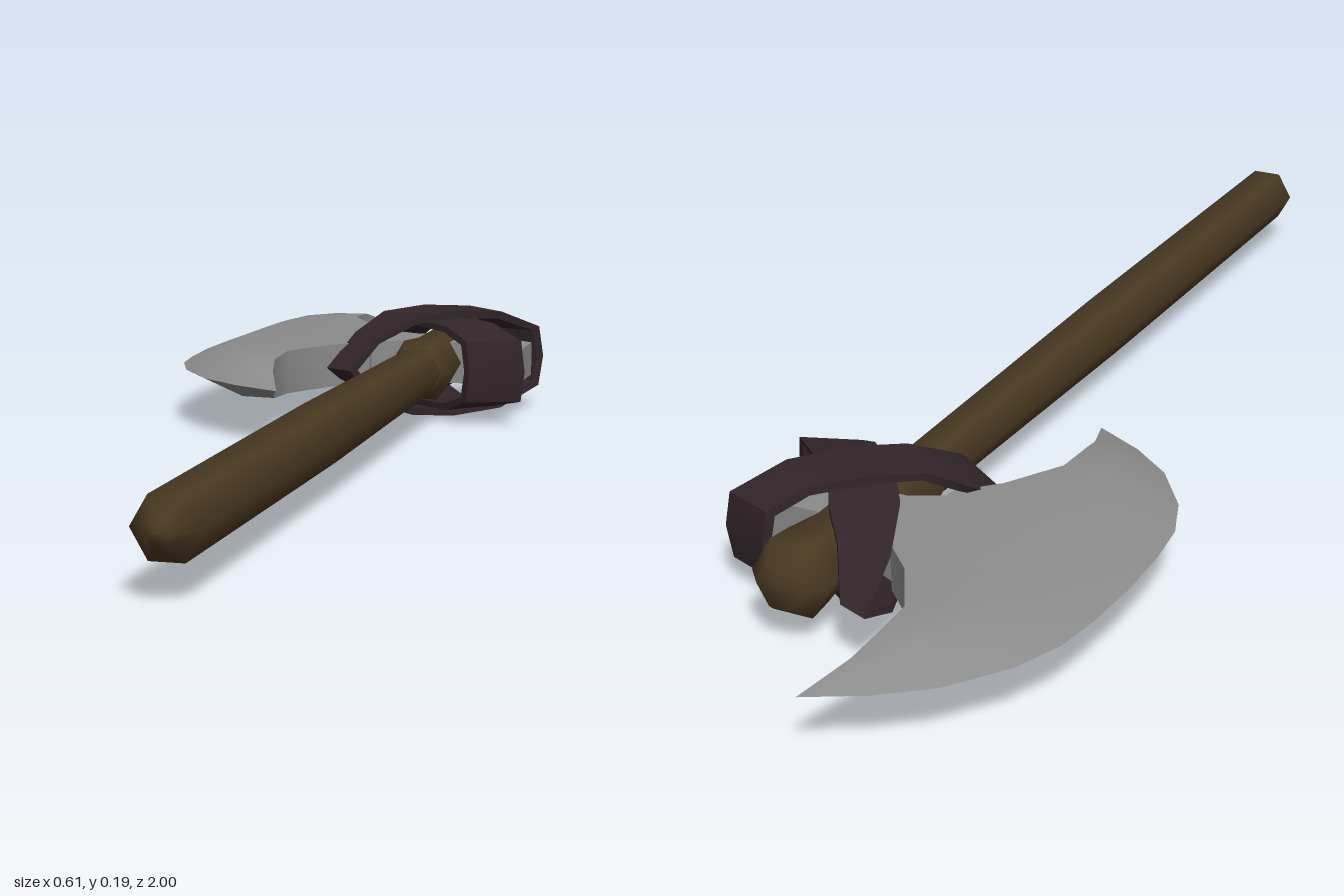
import * as THREE from 'three';
import { toCreasedNormals } from 'three/addons/utils/BufferGeometryUtils.js';

const MID_Y = 0.094;   // height of the axe's flat symmetry plane
const SHAFT_X = 0.127; // handle axis
const HEAD_Z = -0.555; // centre of the blade along the handle

// Skin a list of equal-length rings of points.
function loft(rings, closed, crease) {
  const n = rings[0].length;
  const count = rings.length;
  const index = [];
  for (let i = 0; i < (closed ? count : count - 1); i++) {
    for (let j = 0; j < n; j++) {
      const a = i * n + j;
      const b = i * n + (j + 1) % n;
      const c = ((i + 1) % count) * n + j;
      const d = ((i + 1) % count) * n + (j + 1) % n;
      index.push(a, c, b, b, c, d);
    }
  }
  const g = new THREE.BufferGeometry();
  g.setAttribute('position', new THREE.Float32BufferAttribute(rings.flat(2), 3));
  g.setIndex(index);
  return toCreasedNormals(g, crease);
}

export function createModel() {
  const group = new THREE.Group();
  const material = (name, color) => {
    const m = new THREE.MeshStandardMaterial({ color });
    m.name = name;
    return m;
  };
  const wood = material('wood', 0x4a3a22);
  const steel = material('steel', 0x8c8c8c);
  const leather = material('leather', 0x32252a);

  const add = (name, geometry, mat) => {
    const mesh = new THREE.Mesh(geometry, mat);
    mesh.name = name;
    group.add(mesh);
    return mesh;
  };

  // Six-sided turned wood along z; profile pairs are [radius, z]
  const turned = (name, profile) => {
    const g = new THREE.LatheGeometry(profile.map(([r, z]) => new THREE.Vector2(r, z)), 6, Math.PI / 6);
    g.rotateX(Math.PI / 2);
    add(name, g, wood).position.set(SHAFT_X, MID_Y, 0);
  };
  turned('handle', [[0.043, -0.4], [0.046, -0.1], [0.05, 0.25], [0.049, 0.965], [0.016, 0.997], [0, 1]]);
  turned('handleHead', [[0, -0.768], [0.038, -0.765], [0.064, -0.735], [0.06, -0.69],
    [0.05, -0.62], [0.05, -0.5], [0.058, -0.405], [0.046, -0.375], [0.04, -0.375]]);

  // Blade half-sections: edge x, edge d, bevel x, bevel d, inner x, inner d, half thickness
  const half = [
    [-0.307, 0, -0.21, 0, 0.03, 0, 0.037],
    [-0.303, 0.1, -0.208, 0.08, 0.02, 0.09, 0.037],
    [-0.293, 0.18, -0.2, 0.155, -0.035, 0.145, 0.037],
    [-0.262, 0.26, -0.18, 0.235, -0.087, 0.235, 0.037],
    [-0.2, 0.345, -0.145, 0.31, -0.087, 0.315, 0.033],
    [-0.13, 0.4, -0.1, 0.37, -0.077, 0.36, 0.02],
    [-0.046, 0.445, -0.046, 0.445, -0.046, 0.445, 0],
  ];
  const section = ([ex, ed, bx, bd, ix, id, h], s) => [
    [ex, MID_Y, HEAD_Z + s * ed],
    [bx, MID_Y + h, HEAD_Z + s * bd],
    [ix, MID_Y + h, HEAD_Z + s * id],
    [ix, MID_Y - h, HEAD_Z + s * id],
    [bx, MID_Y - h, HEAD_Z + s * bd],
  ];
  const rings = [
    ...half.slice(1).reverse().map((p) => section(p, -1)),
    ...half.map((p) => section(p, 1)),
  ];
  add('blade', loft(rings, false, 0.65), steel);

  // Tang passing through the handle, narrowed at the back end
  const tang = new THREE.BoxGeometry(0.285, 0.072, 0.1, 4, 1, 1);
  const p = tang.attributes.position;
  for (let i = 0; i < p.count; i++) {
    const x = p.getX(i);
    const k = x > 0.14 ? 0.8 : x < -0.14 ? 1.7 : 1;
    p.setZ(i, p.getZ(i) * k);
    if (x > 0.14) p.setY(i, p.getY(i) * 0.8);
  }
  add('tang', toCreasedNormals(tang, 0.6), steel).position.set(0.1425, MID_Y, HEAD_Z);

  // Leather loops; upper-half path rows are x, z, y, half width in x, half width in z
  const strap = (name, path) => {
    const lower = path.slice(1, -1).reverse().map(([x, z, y, wx, wz]) => [x, z, 2 * MID_Y - y, wx, wz]);
    const loop = [...path, ...lower].map(([x, z, y, wx, wz]) => {
      const ix = SHAFT_X + (x - SHAFT_X) * 0.92;
      const iy = MID_Y + (y - MID_Y) * 0.86;
      const iz = -0.535 + (z + 0.535) * 0.94;
      return [
        [x + wx, y, z + wz], [x - wx, y, z - wz],
        [ix - wx, iy, iz - wz], [ix + wx, iy, iz + wz],
      ];
    });
    add(name, loft(loop, true, 0.75), leather);
  };
  strap('outerStrap', [
    [-0.011, -0.373, MID_Y, 0.024, 0.012],
    [0.022, -0.425, 0.147, 0.028, 0.045],
    [0.07, -0.48, 0.18, 0.036, 0.036],
    [0.13, -0.535, 0.187, 0.036, 0.036],
    [0.2, -0.6, 0.18, 0.036, 0.034],
    [0.25, -0.65, 0.147, 0.041, 0.016],
    [0.257, -0.655, MID_Y, 0.041, 0.016],
  ]);
  strap('innerStrap', [
    [0.003, -0.778, MID_Y, -0.025, -0.01],
    [0.035, -0.69, 0.137, -0.042, 0],
    [0.08, -0.61, 0.161, -0.04, 0.03],
    [0.13, -0.535, 0.17, -0.035, 0.035],
    [0.2, -0.47, 0.167, -0.035, 0.033],
    [0.252, -0.42, 0.147, -0.045, 0.016],
    [0.26, -0.413, MID_Y, -0.045, 0.016],
  ]);

  return group;
}
